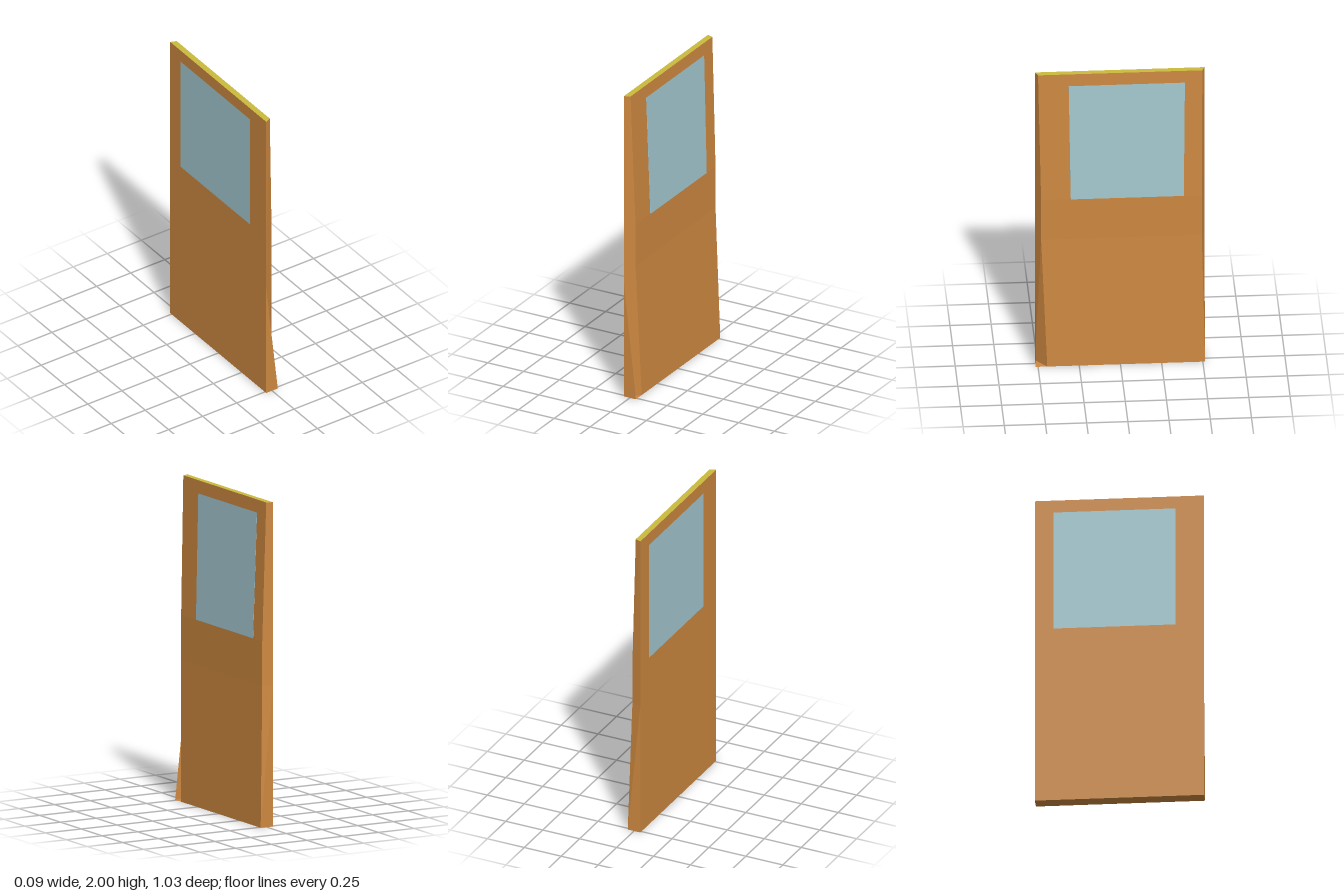
import * as THREE from 'three';

const INNER = -0.043; // flat inner side of the door
const EDGE = 0.514;   // half width of the flat inner side

const material = (color) =>
  new THREE.MeshStandardMaterial({ color, flatShading: true, side: THREE.DoubleSide });

const quad = (a, b, c, d) => [a, b, c, a, c, d];

function mesh(name, points, mat) {
  const g = new THREE.BufferGeometry();
  g.setAttribute('position', new THREE.Float32BufferAttribute(points.flat(), 3));
  g.computeVertexNormals();
  const m = new THREE.Mesh(g, mat);
  m.name = name;
  return m;
}

// Four-cornered section: inner back, inner front, outer front, outer back
const section = (y, inX, inFront, inBack, outX, outFront, outBack) => [
  [inX, y, inBack], [inX, y, inFront], [outX, y, outFront], [outX, y, outBack],
];

// Walls between sections listed from top to bottom
function walls(sections) {
  const points = [];
  for (let r = 0; r + 1 < sections.length; r++) {
    const up = sections[r], low = sections[r + 1];
    for (let i = 0; i < 4; i++) {
      const j = (i + 1) % 4;
      points.push(...quad(low[i], low[j], up[j], up[i]));
    }
  }
  return points;
}

export function createModel() {
  const group = new THREE.Group();
  group.name = 'door';
  const brown = material(0xcd8840);

  // Door panel: outer side bulges towards the bottom, ends are bevelled
  const rows = [
    [2, -0.005, 0.497, -0.5],
    [1.145, 0.02, 0.48, -0.495],
    [0.87, 0.02, 0.48, -0.495],
    [0, 0.042, 0.444, -0.514],
  ].map(([y, x, front, back]) => section(y, INNER, EDGE, -EDGE, x, front, back));
  group.add(mesh('doorPanel', walls(rows), brown));

  // Top rim
  group.add(mesh('topRim', quad(...rows[0]), material(0xcabb3c)));

  // Underside, with the corner below the front flap
  const [ib, inFront, of, ob] = rows[3];
  const corner = [0.042, 0, EDGE];
  group.add(mesh('underside', [...quad(ob, of, inFront, ib), inFront, of, corner], brown));

  // Thin triangular flap closing the lower front edge
  group.add(mesh('frontFlap', [[INNER, 0.77, EDGE], inFront, corner], brown));

  // Window pane running through the door, just proud of both sides
  const pane = [
    section(1.92, INNER - 0.001, 0.34, -0.4, -0.0015, 0.311, -0.394),
    section(1.145, INNER - 0.001, 0.34, -0.4, 0.0212, 0.3, -0.386),
  ];
  group.add(mesh('windowPane', walls(pane), material(0xa3c8d0)));

  return group;
}
